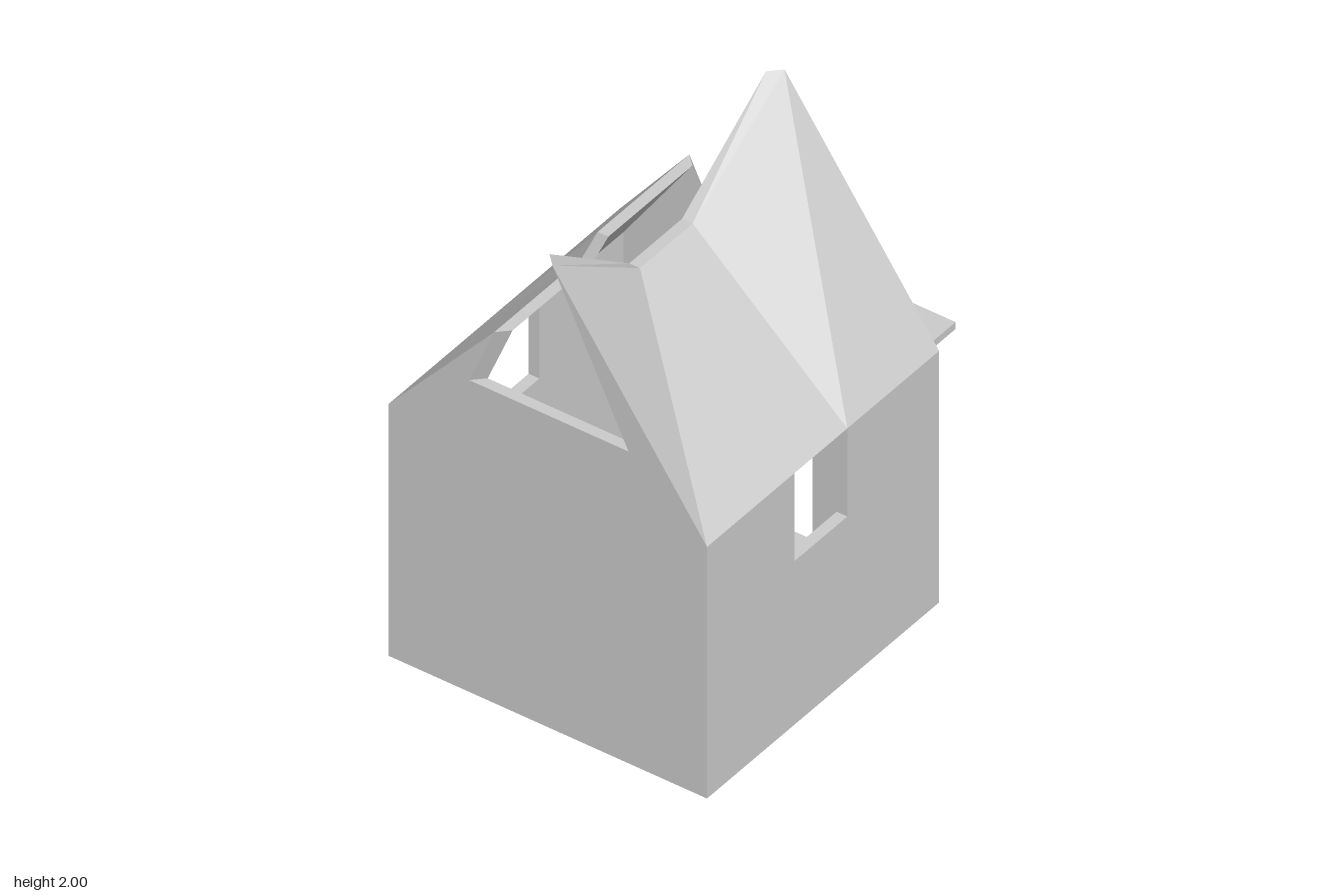
import * as THREE from 'three';

const T = 0.045;                       // wall thickness
const X0 = -0.95, X1 = 0.39, Z = 0.67; // outer footprint
const EAVE = 1.085, EAVE_IN = 1.03, FLOOR = 0.07, CUT = 1.345;
const WX0 = -0.445, WX1 = -0.14;       // front and back window edges

const material = new THREE.MeshStandardMaterial({ color: 0xcccccc, flatShading: true });

function addMesh(group, name, geometry) {
  const mesh = new THREE.Mesh(geometry, material);
  mesh.name = name;
  group.add(mesh);
  return mesh;
}

function addBox(group, name, x0, x1, y0, y1, z0, z1) {
  const mesh = addMesh(group, name, new THREE.BoxGeometry(x1 - x0, y1 - y0, z1 - z0));
  mesh.position.set((x0 + x1) / 2, (y0 + y1) / 2, (z0 + z1) / 2);
  return mesh;
}

const toPoints = (list) => list.map(([x, y]) => new THREE.Vector2(x, y));

// Wall plate whose inner face is the outer outline moved by a rule (mitred edges)
function wallGeometry(outline, holes, inner) {
  const shape = new THREE.Shape(toPoints(outline));
  for (const hole of holes) shape.holes.push(new THREE.Path(toPoints(hole)));
  const geometry = new THREE.ExtrudeGeometry(shape, { depth: T, bevelEnabled: false });
  const p = geometry.attributes.position;
  for (let i = 0; i < p.count; i++) {
    if (p.getZ(i) > T / 2) continue;
    const [x, y] = inner(p.getX(i), p.getY(i));
    p.setXY(i, x, y);
  }
  geometry.computeVertexNormals();
  return geometry;
}

// Front or back wall with its window open up to the eave
function addLongWall(group, name, side) {
  const outline = [
    [X0, 0], [X1, 0], [X1, EAVE], [WX1, EAVE], [WX1, 0.705],
    [WX0, 0.705], [WX0, EAVE], [X0, EAVE],
  ].map(([x, y]) => [x * side, y]);
  const geometry = wallGeometry(outline, [], (u, y) => {
    let x = u * side;
    if (x < -0.9) x += T;
    if (x > 0.3) x -= T;
    return [x * side, y < 0.01 ? FLOOR : y > 1.08 ? EAVE_IN : y];
  });
  const mesh = addMesh(group, name, geometry);
  mesh.rotation.y = side > 0 ? 0 : Math.PI;
  mesh.position.z = side * (Z - T);
}

// Gable wall with a broken-out top; side +1 faces +x
function addGable(group, name, side, backTop, opening) {
  const outline = [
    [Z, 0], [Z, EAVE], [0.02, 2], [0.34, CUT], [-0.33, CUT], backTop, [-Z, EAVE], [-Z, 0],
    ...(opening ? [[-0.17, 0], [-0.17, 0.675], [0.17, 0.675], [0.17, 0]] : []),
  ].map(([z, y]) => [-side * z, y]);
  const holes = opening
    ? [[[-0.17, 0.86], [0.17, 0.86], [0.17, EAVE], [-0.17, EAVE]]] : [];
  const geometry = wallGeometry(outline, holes, (u, y) => {
    let z = -side * u;
    const eave = Math.abs(z) > 0.6 && y > 1.08 && y < 1.1;
    if (Math.abs(z) > 0.2 || y > 1.2) z -= Math.sign(z) * T;
    return [-side * z, y < 0.01 ? FLOOR : eave ? EAVE_IN : y];
  });
  const mesh = addMesh(group, name, geometry);
  mesh.rotation.y = side * Math.PI / 2;
  mesh.position.x = side > 0 ? X1 - T : X0 + T;
}

// Roof slab lofted along x; tops holds [z, y] of its upper edge at each station
function addRoof(group, name, side, tops) {
  const outerX = [X0, WX0, WX1, X1], innerX = [X0 + T, WX0, WX1, X1 - T];
  const sections = tops.map(([z, y], i) => [
    [outerX[i], EAVE, side * Z],
    [outerX[i], y, z],
    [innerX[i], y, z - side * T],
    [innerX[i], EAVE_IN, side * (Z - T)],
  ]);
  const positions = [];
  for (let i = 0; i < 3; i++) {
    for (let j = 0; j < 4; j++) {
      const k = (j + 1) % 4;
      const a = sections[i][j], b = sections[i + 1][j];
      const c = sections[i + 1][k], d = sections[i][k];
      const corners = side > 0 ? [a, b, c, a, c, d] : [a, c, b, a, d, c];
      positions.push(...corners.flat());
    }
  }
  const geometry = new THREE.BufferGeometry();
  geometry.setAttribute('position', new THREE.Float32BufferAttribute(positions, 3));
  geometry.computeVertexNormals();
  addMesh(group, name, geometry);
}

export function createModel() {
  const group = new THREE.Group();
  group.name = 'brokenHouse';

  // Floor slab, narrowing upward to meet the inner wall faces
  const floor = addBox(group, 'floor', X0, X1, 0, FLOOR, -Z, Z);
  const p = floor.geometry.attributes.position;
  for (let i = 0; i < p.count; i++) {
    if (p.getY(i) < 0) continue;
    p.setX(i, p.getX(i) - Math.sign(p.getX(i)) * T);
    p.setZ(i, p.getZ(i) - Math.sign(p.getZ(i)) * T);
  }
  floor.geometry.computeVertexNormals();

  // Walls
  addLongWall(group, 'frontWall', 1);
  addLongWall(group, 'backWall', -1);
  addGable(group, 'doorGable', 1, [-0.38, 1.45], true);
  addGable(group, 'plainGable', -1, [-0.225, 1.6], false);

  // Torn roof halves
  addRoof(group, 'frontRoof', 1, [[0.02, 2], [0.02, 1.67], [0.02, 1.67], [0.02, 2]]);
  addRoof(group, 'backRoof', -1, [[-0.225, 1.6], [-0.225, 1.6], [-0.38, 1.45], [-0.38, 1.45]]);

  // Porch canopy and posts
  addBox(group, 'porchRoof', X1, 0.945, 0.675, 0.705, -0.335, 0.335);
  for (const s of [-1, 1]) {
    const post = addBox(group, s > 0 ? 'frontPost' : 'backPost', 0.895, 0.945, 0.105, 0.675, 0.172, 0.202);
    post.position.z *= s;
  }
  return group;
}
